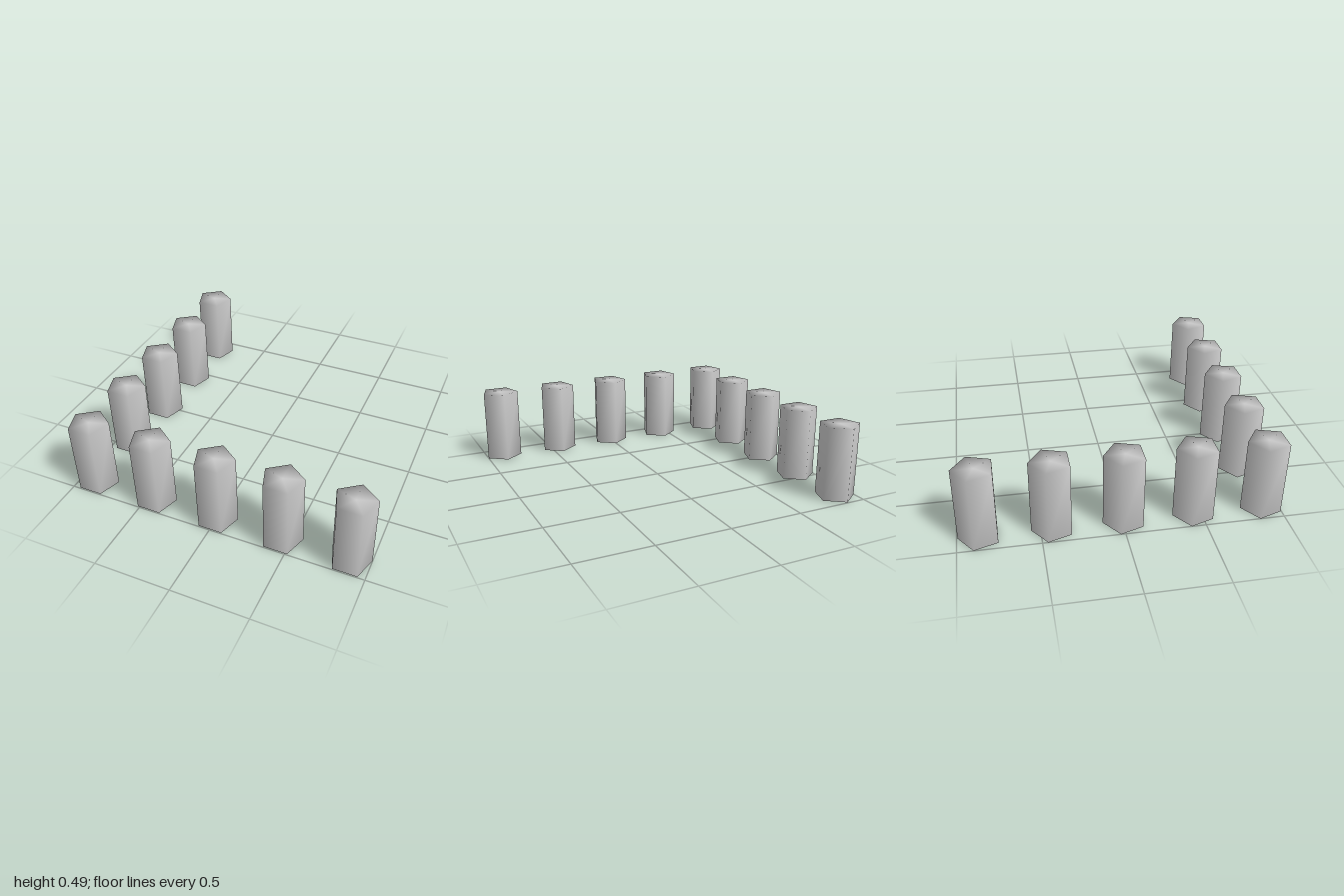
import * as THREE from 'three';
import { mergeVertices } from 'three/addons/utils/BufferGeometryUtils.js';

const RADIUS = 0.1314;
const HEIGHT = 0.493;
const SPACING = 0.4375;

// Five-sided post with one corner pointing back, shaded smoothly across its edges
function createPostGeometry() {
  const post = new THREE.CylinderGeometry(RADIUS, RADIUS, HEIGHT, 5);
  post.rotateY(Math.PI);
  post.translate(0, HEIGHT / 2, 0);
  post.deleteAttribute('normal');
  post.deleteAttribute('uv');
  const welded = mergeVertices(post);
  welded.computeVertexNormals();
  return welded;
}

export function createModel() {
  const group = new THREE.Group();
  group.name = 'cornerOfPosts';
  const geometry = createPostGeometry();
  const material = new THREE.MeshStandardMaterial({ color: 0xcccccc });

  const cornerX = -2 * SPACING;
  const cornerZ = 0.8875;

  function addPost(name, x, z) {
    const post = new THREE.Mesh(geometry, material);
    post.name = name;
    post.position.set(x, 0, z);
    group.add(post);
  }

  // Corner post, then one row along the front and one along the right side
  addPost('cornerPost', cornerX, cornerZ);
  for (let i = 1; i < 5; i++) {
    addPost(`frontPost${i}`, cornerX + i * SPACING, cornerZ);
    addPost(`sidePost${i}`, cornerX, cornerZ - i * SPACING);
  }
  return group;
}
